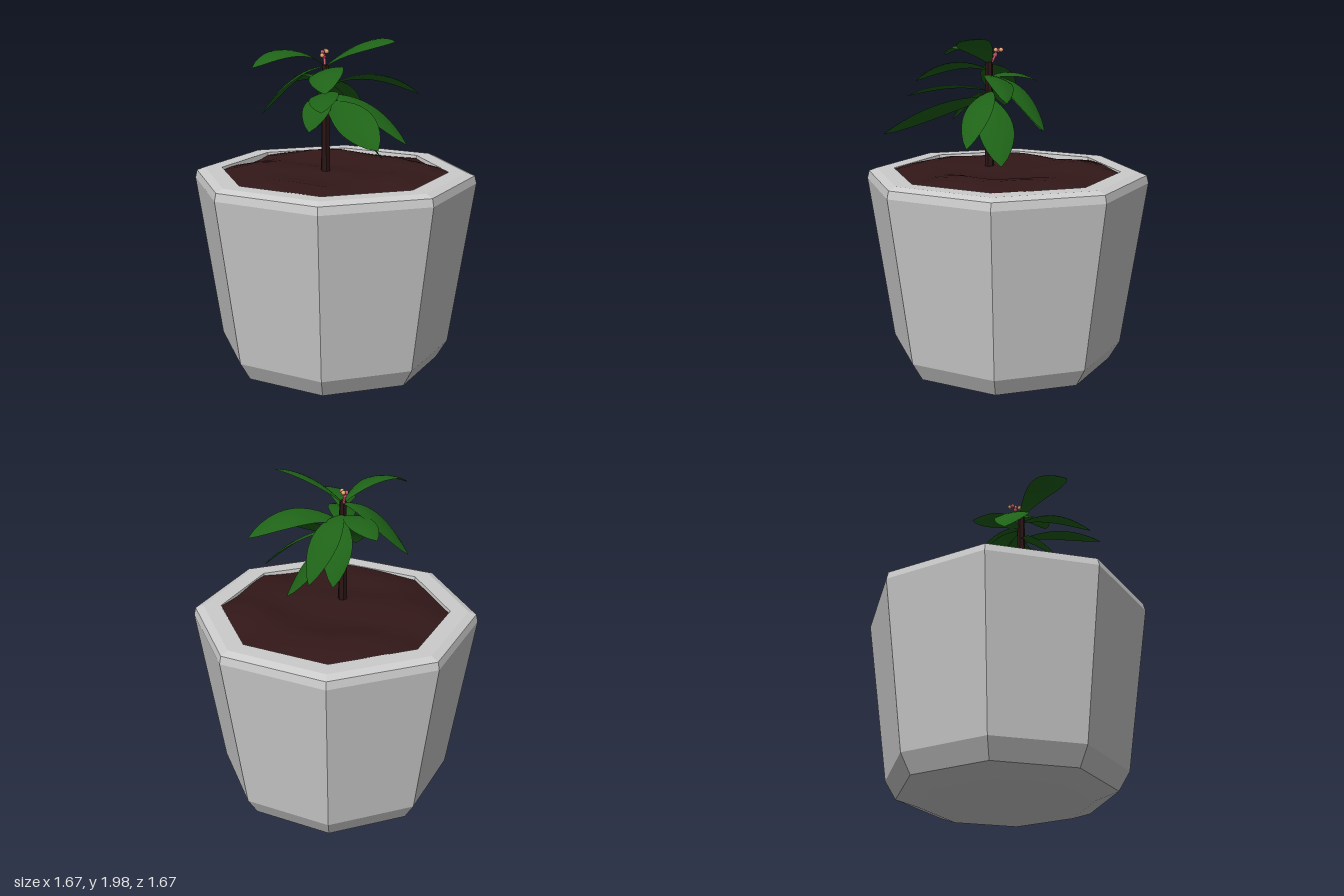
import * as THREE from 'three';

const mat = (color, extra = {}) => new THREE.MeshStandardMaterial({ color, ...extra });
const V = (x, y, z) => new THREE.Vector3(x, y, z);

function add(group, name, geometry, material) {
  const mesh = new THREE.Mesh(geometry, material);
  mesh.name = name;
  group.add(mesh);
  return mesh;
}

// Arched leaf from base to tip: rounded outline, slight fold along the midrib, rolled about its axis
function leafGeometry(base, tip, arch, width, roll) {
  const mid = base.clone().lerp(tip, 0.5);
  mid.y += arch * 2;
  const curve = new THREE.QuadraticBezierCurve3(base, mid, tip);
  const flat = V(tip.x - base.x, 0, tip.z - base.z).normalize();
  const geo = new THREE.PlaneGeometry(1, 1, 4, 12);
  const pos = geo.attributes.position;
  for (let i = 0; i < pos.count; i++) {
    const u = pos.getX(i) * 2;
    const t = pos.getY(i) + 0.5;
    const tangent = curve.getTangent(t);
    const side = V(-flat.z, 0, flat.x).applyAxisAngle(tangent, roll);
    const up = side.clone().cross(tangent).normalize();
    const half = (width / 2) * (0.1 * (1 - t) + Math.pow(Math.sin(Math.PI * Math.pow(t, 1.25)), 0.75));
    const p = curve.getPoint(t).addScaledVector(side, u * half).addScaledVector(up, -0.15 * u * u * half);
    pos.setXYZ(i, p.x, p.y, p.z);
  }
  geo.computeVertexNormals();
  return geo;
}

// Uneven ground filling the octagonal opening
function soilGeometry() {
  const geo = new THREE.RingGeometry(0.001, 0.668, 48, 8).rotateX(-Math.PI / 2);
  const pos = geo.attributes.position;
  const step = Math.PI / 4;
  for (let i = 0; i < pos.count; i++) {
    let x = pos.getX(i), z = pos.getZ(i);
    const a = Math.atan2(z, x) + Math.PI * 2;
    const k = Math.cos(step / 2) / Math.cos((a % step) - step / 2);
    const r = Math.hypot(x, z) / 0.668;
    x *= k;
    z *= k;
    const bumps = 0.013 * Math.sin(7 * x + 2) * Math.cos(6 * z - 1) + 0.008 * Math.sin(13 * z + 5 * x);
    const mound = 0.022 * Math.exp(-(((r - 0.7) / 0.2) ** 2));
    pos.setXYZ(i, x, 1.205 + bumps + mound - 0.02 * r ** 6, z);
  }
  geo.computeVertexNormals();
  return geo;
}

export function createModel() {
  const model = new THREE.Group();
  model.name = 'pottedPlant';

  // Octagonal pot with bevelled foot and rim
  const profile = [[0, 0], [0.49, 0], [0.625, 0.05], [0.69, 0.16], [0.833, 1.14], [0.822, 1.185],
    [0.775, 1.203], [0.67, 1.203], [0.645, 1.08], [0, 1.08]].map(([r, y]) => new THREE.Vector2(r, y));
  add(model, 'pot', new THREE.LatheGeometry(profile, 8), mat(0xcccccc, { flatShading: true }));
  add(model, 'soil', soilGeometry(), mat(0x321718));

  // Stem
  const stem = add(model, 'stem', new THREE.CylinderGeometry(0.021, 0.028, 0.66, 6), mat(0x2a1514, { flatShading: true }));
  stem.position.set(0.045, 1.5, 0.1);

  // Leaves: start height, tip x y z, arch, width, roll
  const leaves = new THREE.Group();
  leaves.name = 'leaves';
  model.add(leaves);
  const green = mat(0x1e6217, { side: THREE.DoubleSide });
  [
    [1.82, 0.41, 1.97, -0.10, 0.05, 0.17, 0.3],
    [1.82, 0.01, 1.84, 0.58, 0.09, 0.16, -0.15],
    [1.78, 0.38, 1.72, 0.37, 0.07, 0.19, 0.3],
    [1.82, -0.26, 1.53, 0.33, 0.07, 0.2, 0],
    [1.74, -0.29, 1.70, 0.05, 0.04, 0.15, 0.1],
    [1.70, 0.31, 1.65, -0.38, 0.09, 0.16, -0.3],
    [1.75, -0.07, 1.45, -0.26, 0.08, 0.17, 0],
    [1.72, -0.15, 1.43, -0.15, 0.06, 0.16, 0],
    [1.66, 0.43, 1.39, -0.18, 0.07, 0.17, 0.2],
    [1.62, 0.68, 1.45, 0.26, 0.04, 0.19, 0.6],
    [1.66, 0.41, 1.63, 0.42, 0.05, 0.16, 0.2],
    [1.66, 0.16, 1.48, 0.31, 0.05, 0.16, 0],
    [1.62, 0.20, 1.27, -0.20, 0.05, 0.2, 0],
  ].forEach(([y, tx, ty, tz, arch, width, roll], i) =>
    add(leaves, `leaf${i + 1}`, leafGeometry(V(0.04, y, 0.095), V(tx, ty, tz), arch, width, roll), green));

  // Bud stalk and berry cluster
  const pink = mat(0xc8586c), peach = mat(0xe8a878);
  const stalk = new THREE.LineCurve3(V(0.04, 1.8, 0.1), V(0.008, 1.885, 0.078));
  add(model, 'budStalk', new THREE.TubeGeometry(stalk, 1, 0.008, 6), pink);
  [[-0.008, 1.9, 0.055, peach], [0.02, 1.9, 0.07, peach], [-0.006, 1.895, 0.08, pink],
    [0.026, 1.88, 0.108, peach], [0.012, 1.87, 0.085, pink]].forEach(([x, y, z, m], i) =>
    add(model, `berry${i + 1}`, new THREE.SphereGeometry(0.013, 10, 8), m).position.set(x, y, z));

  return model;
}
